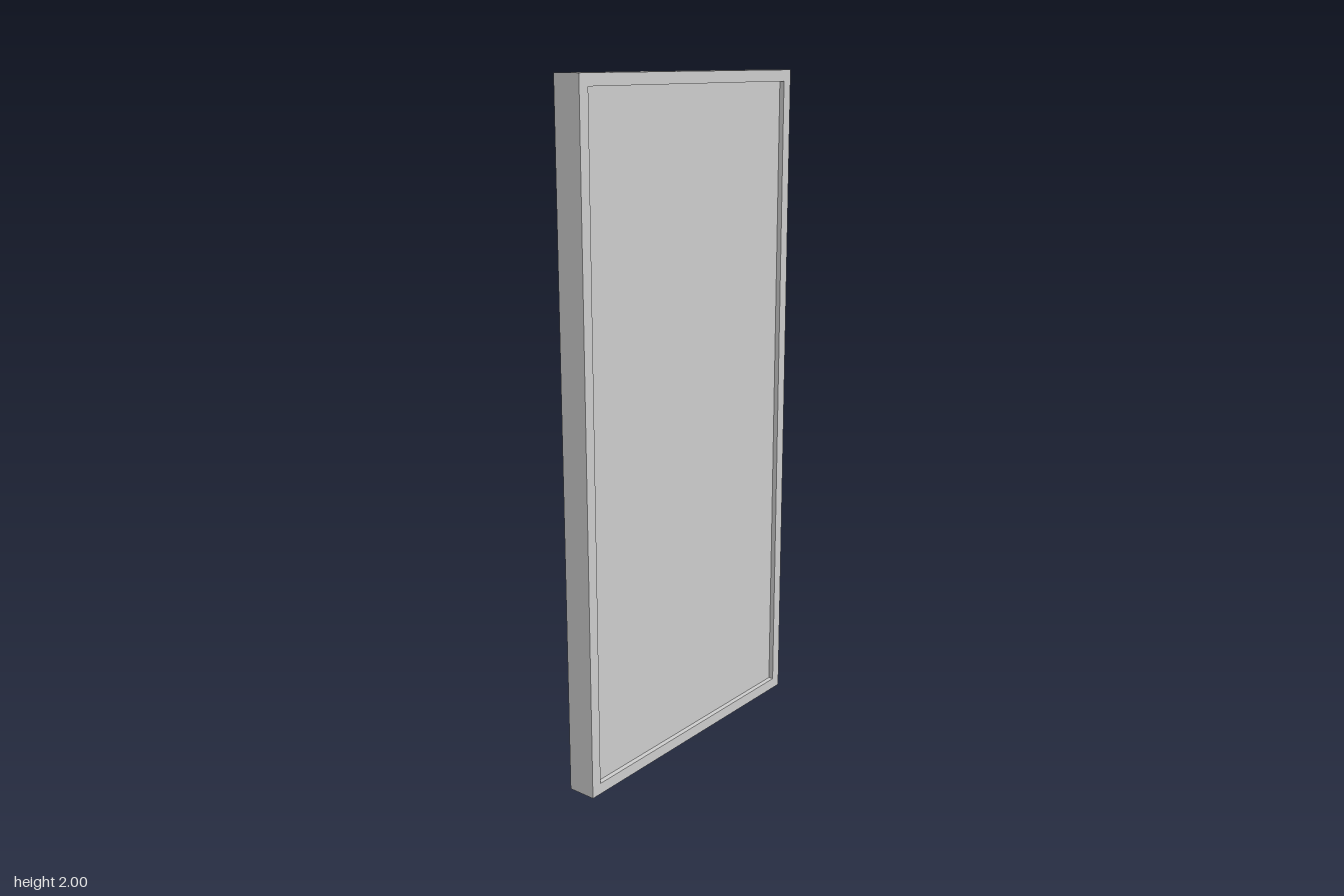
import * as THREE from 'three';

const HEIGHT = 2, WIDTH = 0.926, DEPTH = 0.086, BORDER = 0.033;

// Counter-clockwise rectangle, inset from the outer outline
function rectangle(path, inset) {
  const w = WIDTH / 2 - inset;
  path.moveTo(-w, inset);
  path.lineTo(w, inset);
  path.lineTo(w, HEIGHT - inset);
  path.lineTo(-w, HEIGHT - inset);
  path.closePath();
  return path;
}

export function createModel() {
  const group = new THREE.Group();
  group.name = 'framedPanel';
  const material = new THREE.MeshStandardMaterial({ color: 0xcccccc });

  // Rectangular frame, extruded and turned so its opening faces along x
  const outline = rectangle(new THREE.Shape(), 0);
  outline.holes.push(rectangle(new THREE.Path(), BORDER));
  const frameGeometry = new THREE.ExtrudeGeometry(outline, { depth: DEPTH, bevelEnabled: false });
  frameGeometry.translate(0, 0, -DEPTH / 2);
  frameGeometry.rotateY(Math.PI / 2);
  const frame = new THREE.Mesh(frameGeometry, material);
  frame.name = 'frame';
  group.add(frame);

  // Inset panel: shallow recess on the +x side, deep recess on the -x side
  const back = 0, front = 0.028;
  const panel = new THREE.Mesh(
    new THREE.BoxGeometry(front - back, HEIGHT - 2 * BORDER, WIDTH - 2 * BORDER),
    material
  );
  panel.name = 'panel';
  panel.position.set((front + back) / 2, HEIGHT / 2, 0);
  group.add(panel);

  return group;
}
